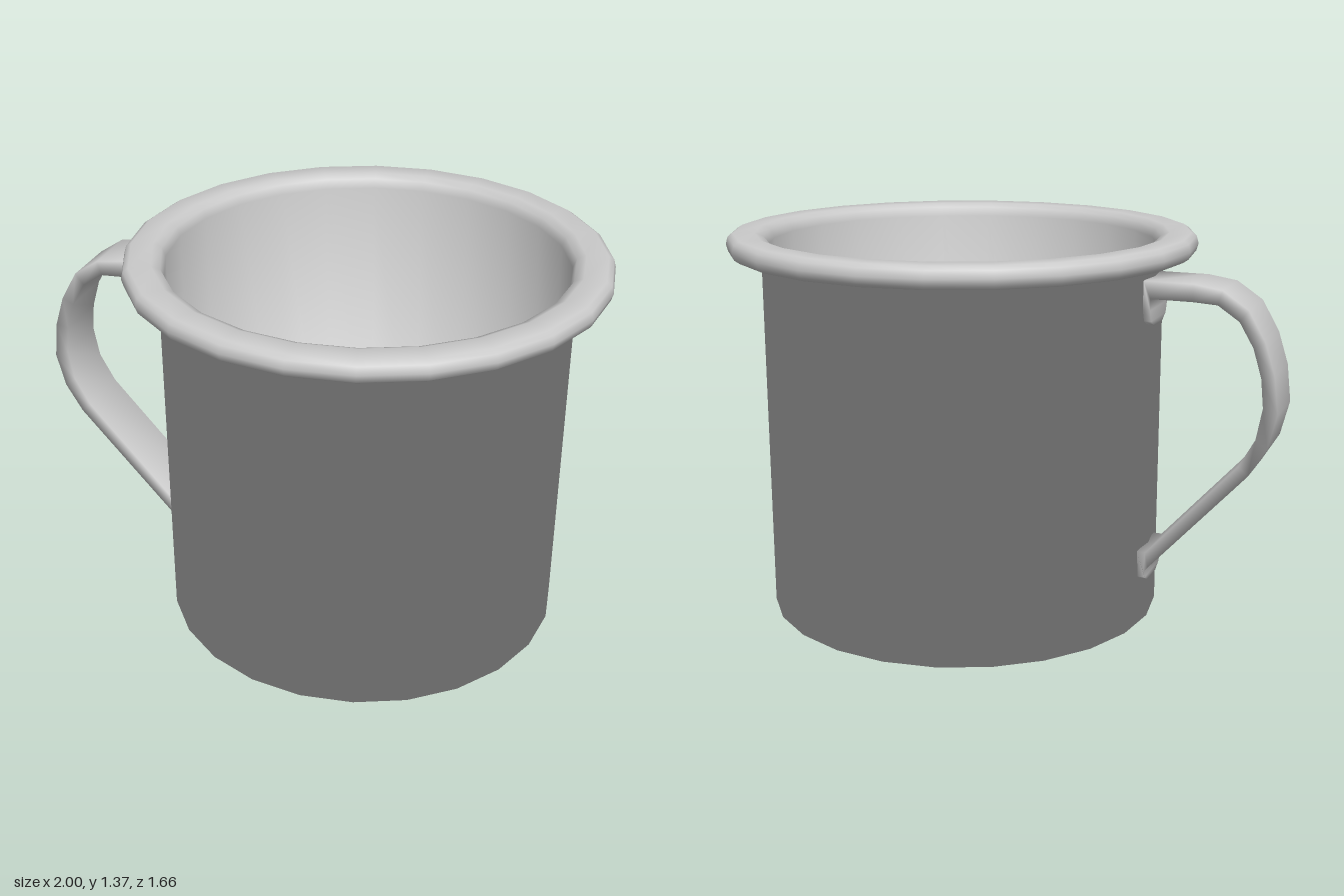
import * as THREE from 'three';

const material = new THREE.MeshStandardMaterial({ color: 0xcccccc });
const SIDES = 24;

// Lathe whose normals average the neighbouring profile edges evenly
function softLathe(profile) {
  const points = profile.map(([r, y]) => new THREE.Vector2(r, y));
  const edgeNormals = points.slice(1).map((p, i) => {
    const d = p.clone().sub(points[i]).normalize();
    return new THREE.Vector2(d.y, -d.x);
  });
  const normals = points.map((p, i) => {
    const n = new THREE.Vector2();
    if (i > 0) n.add(edgeNormals[i - 1]);
    if (i < edgeNormals.length) n.add(edgeNormals[i]);
    return n.normalize();
  });
  const geometry = new THREE.LatheGeometry(points, SIDES);
  const attribute = geometry.attributes.normal;
  for (let s = 0; s <= SIDES; s++) {
    const phi = (s / SIDES) * Math.PI * 2;
    normals.forEach((n, j) =>
      attribute.setXYZ(s * normals.length + j, n.x * Math.sin(phi), n.y, n.x * Math.cos(phi)));
  }
  return geometry;
}

// Strip through stations [outerX, outerY, innerX, innerY, halfWidth]
function strip(stations) {
  const positions = [], index = [];
  for (const [ox, oy, ix, iy, w] of stations) {
    positions.push(ox, oy, w, ox, oy, -w, ix, iy, -w, ix, iy, w);
  }
  for (let i = 0; i < stations.length - 1; i++) {
    for (let k = 0; k < 4; k++) {
      const a = i * 4 + k, b = i * 4 + (k + 1) % 4;
      index.push(a, b, a + 4, b, b + 4, a + 4);
    }
  }
  const e = (stations.length - 1) * 4;
  index.push(0, 2, 1, 0, 3, 2, e, e + 1, e + 2, e, e + 2, e + 3);
  const geometry = new THREE.BufferGeometry();
  geometry.setAttribute('position', new THREE.Float32BufferAttribute(positions, 3));
  geometry.setIndex(index);
  geometry.computeVertexNormals();
  return geometry;
}

export function createModel() {
  const group = new THREE.Group();
  const add = (name, geometry) => {
    const mesh = new THREE.Mesh(geometry, material);
    mesh.name = name;
    group.add(mesh);
    return mesh;
  };

  // Cup: base, outer wall, rolled rim, inner wall and floor
  const cup = add('cup', softLathe([
    [0, 0], [0.71, 0], [0.71, 1.335],
    [0.745, 1.335], [0.75, 1.3], [0.77, 1.29], [0.805, 1.29],
    [0.823, 1.302], [0.83, 1.327], [0.823, 1.353], [0.805, 1.365],
    [0.73, 1.365], [0.7, 1.352], [0.688, 1.32],
    [0.688, 0.02], [0, 0.02],
  ]));
  cup.position.x = 0.17;

  // Handle: bent strip with a rounded tab at each end
  const W = 0.105;
  add('handle', strip([
    [-0.53, 1.08, -0.555, 1.08, 0.05],
    [-0.53, 1.1, -0.555, 1.1, 0.088],
    [-0.53, 1.14, -0.555, 1.14, W],
    [-0.53, 1.24, -0.555, 1.18, W],
    [-0.7, 1.24, -0.7, 1.18, W],
    [-0.8, 1.225, -0.785, 1.175, W],
    [-0.89, 1.165, -0.86, 1.125, W],
    [-0.95, 1.06, -0.91, 1.04, W],
    [-0.985, 0.95, -0.94, 0.94, W],
    [-1, 0.82, -0.95, 0.84, W],
    [-0.97, 0.7, -0.93, 0.73, W],
    [-0.91, 0.6, -0.875, 0.63, W],
    [-0.57, 0.225, -0.56, 0.28, W],
    [-0.555, 0.205, -0.53, 0.28, W],
    [-0.555, 0.18, -0.53, 0.18, 0.088],
    [-0.555, 0.16, -0.53, 0.16, 0.05],
  ]));

  return group;
}
